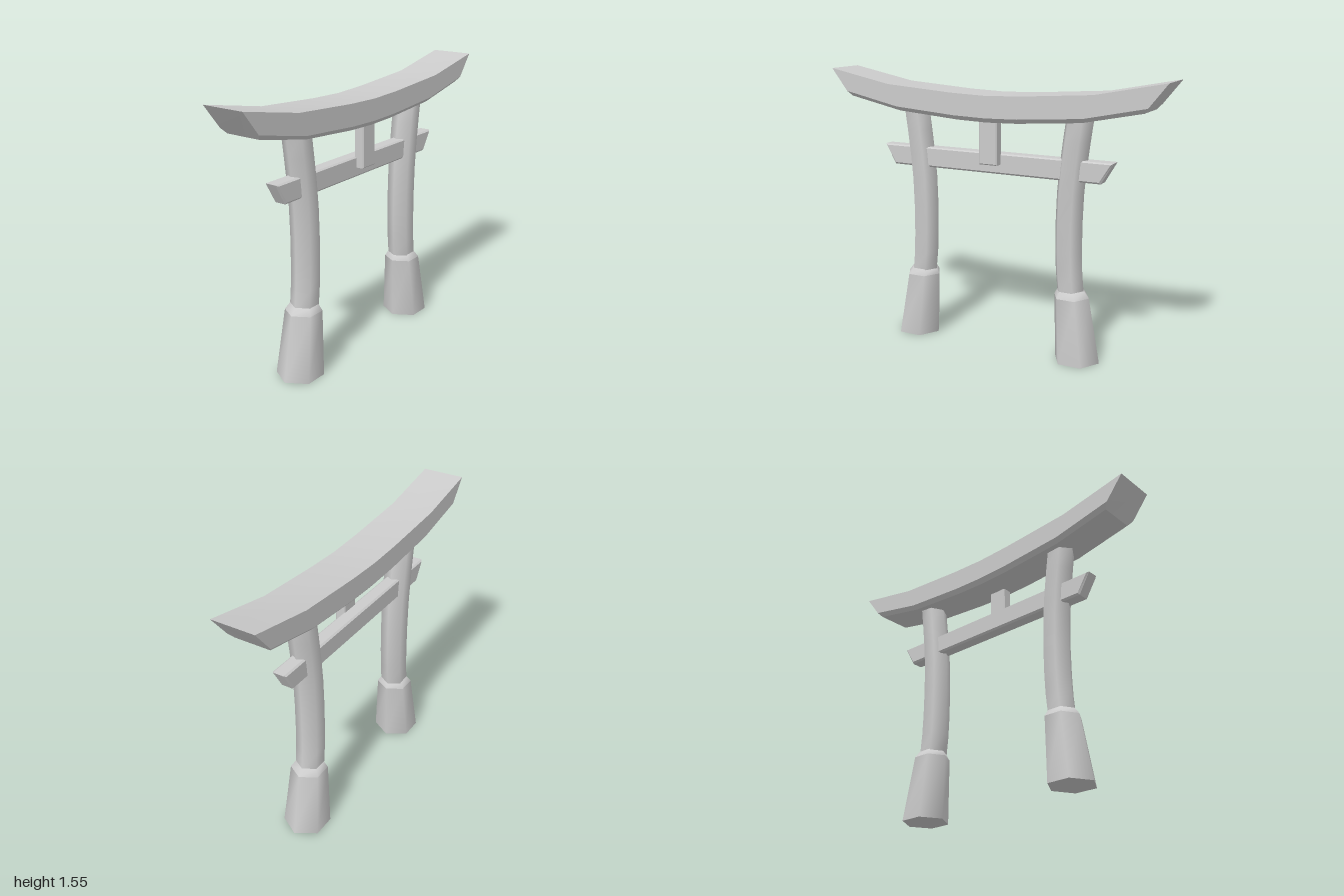
import * as THREE from 'three';
import { toCreasedNormals } from 'three/addons/utils/BufferGeometryUtils.js';

const material = new THREE.MeshStandardMaterial({ color: 0xcccccc });

// Capped skin over a row of equal-sized rings (each ring runs clockwise about the path)
function loft(rings, crease) {
  const n = rings[0].length;
  const last = (rings.length - 1) * n;
  const index = [];
  for (let r = 0; r < last; r += n) {
    for (let i = 0; i < n; i++) {
      const a = r + i, b = r + (i + 1) % n;
      index.push(a, a + n, b, b, a + n, b + n);
    }
  }
  for (let i = 1; i < n - 1; i++) {
    index.push(0, i, i + 1, last, last + i + 1, last + i);
  }
  const geometry = new THREE.BufferGeometry();
  geometry.setAttribute('position', new THREE.Float32BufferAttribute(rings.flat(2), 3));
  geometry.setIndex(index);
  return toCreasedNormals(geometry, crease);
}

// Six-sided ring lying flat at height y
function hexRing(x, y, radius) {
  return Array.from({ length: 6 }, (_, i) => {
    const a = i * Math.PI / 3;
    return [x + radius * Math.cos(a), y, radius * Math.sin(a)];
  });
}

// Flat outline with bevelled edges, kept inside its outline, from zBack to zFront
function bevelledSlab(points, zBack, zFront, bevel) {
  const shape = new THREE.Shape(points.map(([x, y]) => new THREE.Vector2(x, y)));
  const geometry = new THREE.ExtrudeGeometry(shape, {
    depth: zFront - zBack - 2 * bevel,
    bevelThickness: bevel, bevelSize: bevel, bevelOffset: -bevel, bevelSegments: 1,
  });
  return geometry.translate(0, 0, zBack + bevel);
}

export function createModel() {
  const model = new THREE.Group();
  model.name = 'gate';
  const add = (name, geometry, parent = model) => {
    const mesh = new THREE.Mesh(geometry, material);
    mesh.name = name;
    parent.add(mesh);
  };

  // Curved roof beam: top edge, bevel edge and bottom edge as [x, y], from the middle outward
  const half = [
    [[0, 1.445], [0, 1.325], [0, 1.3]],
    [[0.21, 1.452], [0.19, 1.33], [0.18, 1.305]],
    [[0.615, 1.48], [0.56, 1.357], [0.55, 1.333]],
    [[1, 1.555], [0.9, 1.428], [0.876, 1.4]],
  ];
  const section = (side, [top, bevel, bottom]) => [
    [top, 0.122], [top, -0.122], [bevel, -0.122],
    [bottom, -0.1], [bottom, 0.1], [bevel, 0.122],
  ].map(([[x, y], z]) => [side * x, y, z]);
  add('roofBeam', loft([
    ...half.slice(1).reverse().map((s) => section(-1, s)),
    ...half.map((s) => section(1, s)),
  ], 0.35));

  // Straight tie beam with slanted ends
  add('tieBeam', bevelledSlab(
    [[-0.635, 1.01], [0.635, 1.01], [0.702, 1.125], [-0.702, 1.125]], -0.041, 0.041, 0.01));

  // Plaque between the beams, set toward the front
  add('centrePlaque', bevelledSlab(
    [[-0.055, 1.065], [0.055, 1.065], [0.055, 1.33], [-0.055, 1.33]], 0.028, 0.088, 0.006));

  // Bowed posts on flared feet
  const postPath = [
    [0.468, 0.38], [0.456, 0.5], [0.451, 0.62], [0.45, 0.78], [0.455, 0.94],
    [0.467, 1.08], [0.484, 1.22], [0.503, 1.36],
  ];
  for (const [side, label] of [[1, 'left'], [-1, 'right']]) {
    const group = new THREE.Group();
    group.name = label + 'Pillar';
    model.add(group);
    const rings = (path) => loft(path.map(([x, y, r = 0.078]) => hexRing(side * x, y, r)), 1.2);
    add(label + 'Post', rings(postPath), group);
    add(label + 'Foot', rings([[0.514, 0, 0.131], [0.474, 0.365, 0.102]]), group);
    add(label + 'Collar', rings([[0.474, 0.365, 0.102], [0.469, 0.402, 0.077]]), group);
  }
  return model;
}
